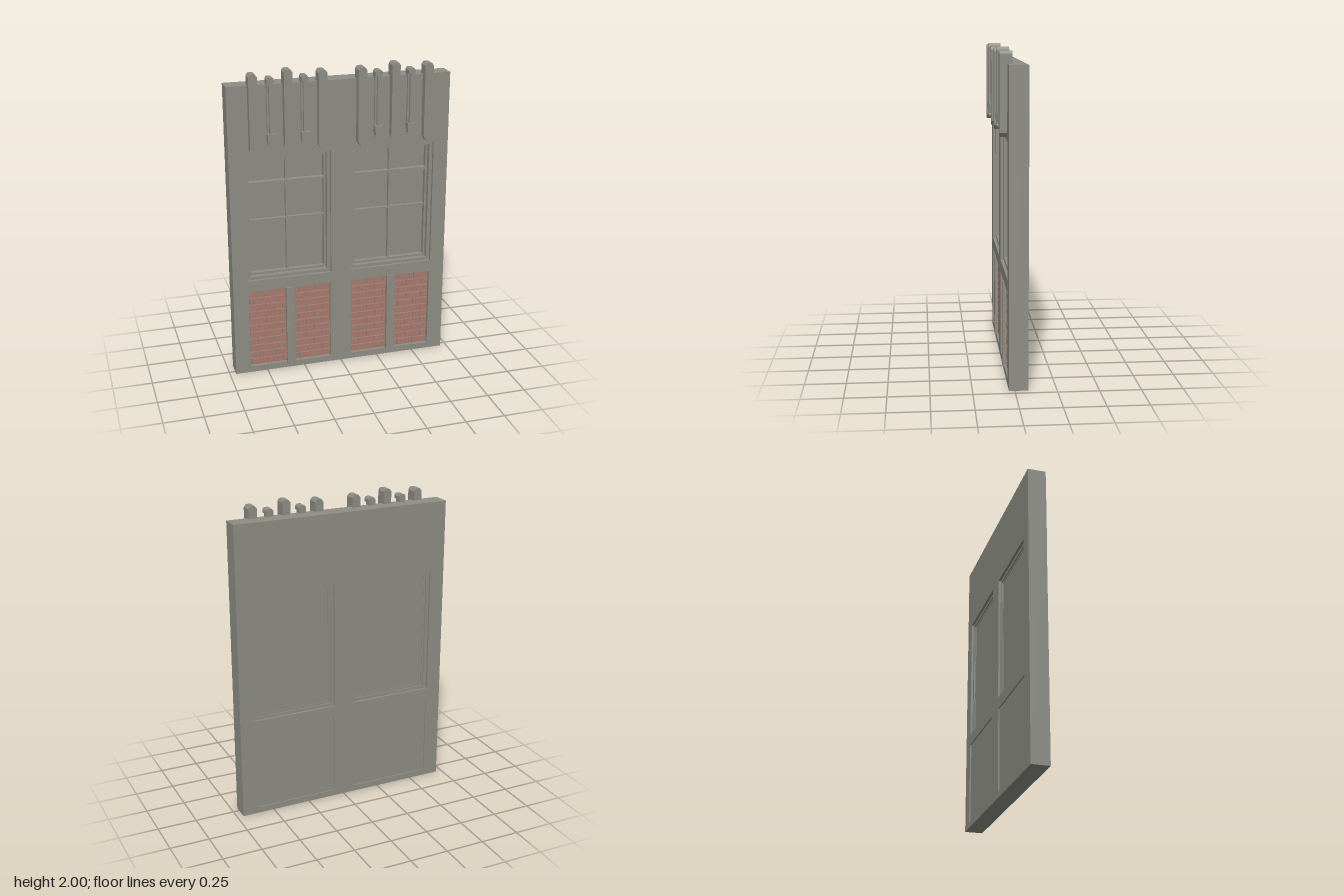
import * as THREE from 'three';

const stone = new THREE.MeshStandardMaterial({ color: 0x8e8e86 });
stone.name = 'grey stone';
const clay = new THREE.MeshStandardMaterial({ color: 0xab7a6e });
clay.name = 'red brick';

const rectPoints = (x0, y0, x1, y1) =>
  [[x0, y0], [x1, y0], [x1, y1], [x0, y1]].map(([x, y]) => new THREE.Vector2(x, y));

function add(parent, name, geometry, material = stone) {
  const mesh = new THREE.Mesh(geometry, material);
  mesh.name = name;
  parent.add(mesh);
  return mesh;
}

function box(parent, name, [x0, x1], [y0, y1], [z0, z1], material) {
  const mesh = add(parent, name, new THREE.BoxGeometry(x1 - x0, y1 - y0, z1 - z0), material);
  mesh.position.set((x0 + x1) / 2, (y0 + y1) / 2, (z0 + z1) / 2);
  return mesh;
}

// Flat outline with optional holes, extruded from z0 to z1
function slab(parent, name, points, z0, z1, holes = []) {
  const shape = new THREE.Shape(points);
  holes.forEach((h) => shape.holes.push(new THREE.Path(h)));
  const geometry = new THREE.ExtrudeGeometry(shape, { depth: z1 - z0, bevelEnabled: false });
  geometry.translate(0, 0, z0);
  return add(parent, name, geometry);
}

// Outline given as its right half from bottom to top, mirrored about x = 0
const mirrored = (half) => [...half, ...half.map(([x, y]) => [-x, y]).reverse()]
  .map(([x, y]) => new THREE.Vector2(x, y));

// Window centred on x = 0: stepped frame, pane and glazing bars
function makeWindow() {
  const g = new THREE.Group();
  g.name = 'window';
  slab(g, 'outerFrame', rectPoints(-0.275, 0.645, 0.275, 1.465), -0.065, 0.015,
    [rectPoints(-0.253, 0.665, 0.253, 1.445)]);
  slab(g, 'sash', rectPoints(-0.253, 0.665, 0.253, 1.445), -0.058, -0.015,
    [rectPoints(-0.24, 0.68, 0.24, 1.432)]);
  box(g, 'pane', [-0.24, 0.24], [0.68, 1.432], [-0.055, -0.045]);
  box(g, 'mullion', [-0.006, 0.006], [0.68, 1.432], [-0.05, -0.022]);
  box(g, 'transom', [-0.24, 0.24], [1.273, 1.287], [-0.05, -0.01]);
  box(g, 'glazingBar', [-0.24, 0.24], [1.024, 1.036], [-0.05, -0.021]);
  return g;
}

// Brick panel centred on x = 0, running bond with a post in front
function makeBrickPanel() {
  const g = new THREE.Group();
  g.name = 'brickPanel';
  box(g, 'mortar', [-0.27, 0.27], [0.04, 0.57], [-0.072, 0.012]);
  const rows = 11, pitch = 0.108, gap = 0.004;
  const rowHeight = 0.526 / rows;
  for (let r = 0; r < rows; r++) {
    const y = 0.042 + r * rowHeight;
    const start = -0.27 - (r % 2 ? pitch / 2 : 0);
    for (let x = start; x < 0.265; x += pitch) {
      const left = Math.max(x, -0.27) + gap;
      const right = Math.min(x + pitch, 0.27) - gap;
      box(g, 'brick', [left, right], [y + gap, y + rowHeight - gap], [0.01, 0.022], clay);
    }
  }
  box(g, 'post', [-0.027, 0.027], [0.035, 0.575], [0.0, 0.045]);
  return g;
}

// Long corbel with chamfered head and pointed foot
function makeLongCorbel() {
  const g = new THREE.Group();
  g.name = 'longCorbel';
  slab(g, 'shaft', mirrored([[0.008, 1.49], [0.027, 1.515], [0.027, 1.968], [0.014, 1.985]]),
    0.005, 0.08);
  return g;
}

// Tall corbel with chamfered head and slightly flared foot
function makeTallCorbel() {
  const g = new THREE.Group();
  g.name = 'tallCorbel';
  slab(g, 'shaft', mirrored([[0.014, 1.535], [0.028, 1.53], [0.028, 1.538], [0.026, 1.545],
    [0.026, 1.985], [0.015, 2.0]]), 0.005, 0.08);
  return g;
}

// Short corbel with a ribbed shaft, chamfered cap and stepped foot
function makeRibbedCorbel() {
  const g = new THREE.Group();
  g.name = 'ribbedCorbel';
  box(g, 'shaft', [-0.021, 0.021], [1.6, 1.93], [0.005, 0.05]);
  box(g, 'rib', [-0.01, 0.01], [1.6, 1.93], [0.05, 0.068]);
  slab(g, 'cap', mirrored([[0.022, 1.925], [0.022, 1.945], [0.013, 1.957]]), 0.005, 0.07);
  box(g, 'footBand', [-0.025, 0.025], [1.565, 1.61], [0.005, 0.08]);
  slab(g, 'foot', mirrored([[0.012, 1.535], [0.025, 1.53], [0.019, 1.548], [0.021, 1.566]]),
    0.005, 0.072);
  return g;
}

export function createModel() {
  const model = new THREE.Group();
  model.name = 'wallSection';

  // Wall with openings for the windows and brick panels
  const openings = [-0.34, 0.34].flatMap((x) => [
    rectPoints(x - 0.275, 0.645, x + 0.275, 1.465),
    rectPoints(x - 0.27, 0.04, x + 0.27, 0.57),
  ]);
  slab(model, 'wall', rectPoints(-0.71, 0, 0.71, 1.91), -0.08, 0.035, openings);

  // Two identical bays
  for (const x of [-0.34, 0.34]) {
    const bay = new THREE.Group();
    bay.name = x < 0 ? 'rightBay' : 'leftBay';
    bay.position.x = x;
    bay.add(makeWindow(), makeBrickPanel(), makeTallCorbel());
    for (const side of [-1, 1]) {
      const long = makeLongCorbel();
      long.position.x = side * 0.215;
      const ribbed = makeRibbedCorbel();
      ribbed.position.x = side * 0.106;
      bay.add(long, ribbed);
    }
    model.add(bay);
  }
  return model;
}
